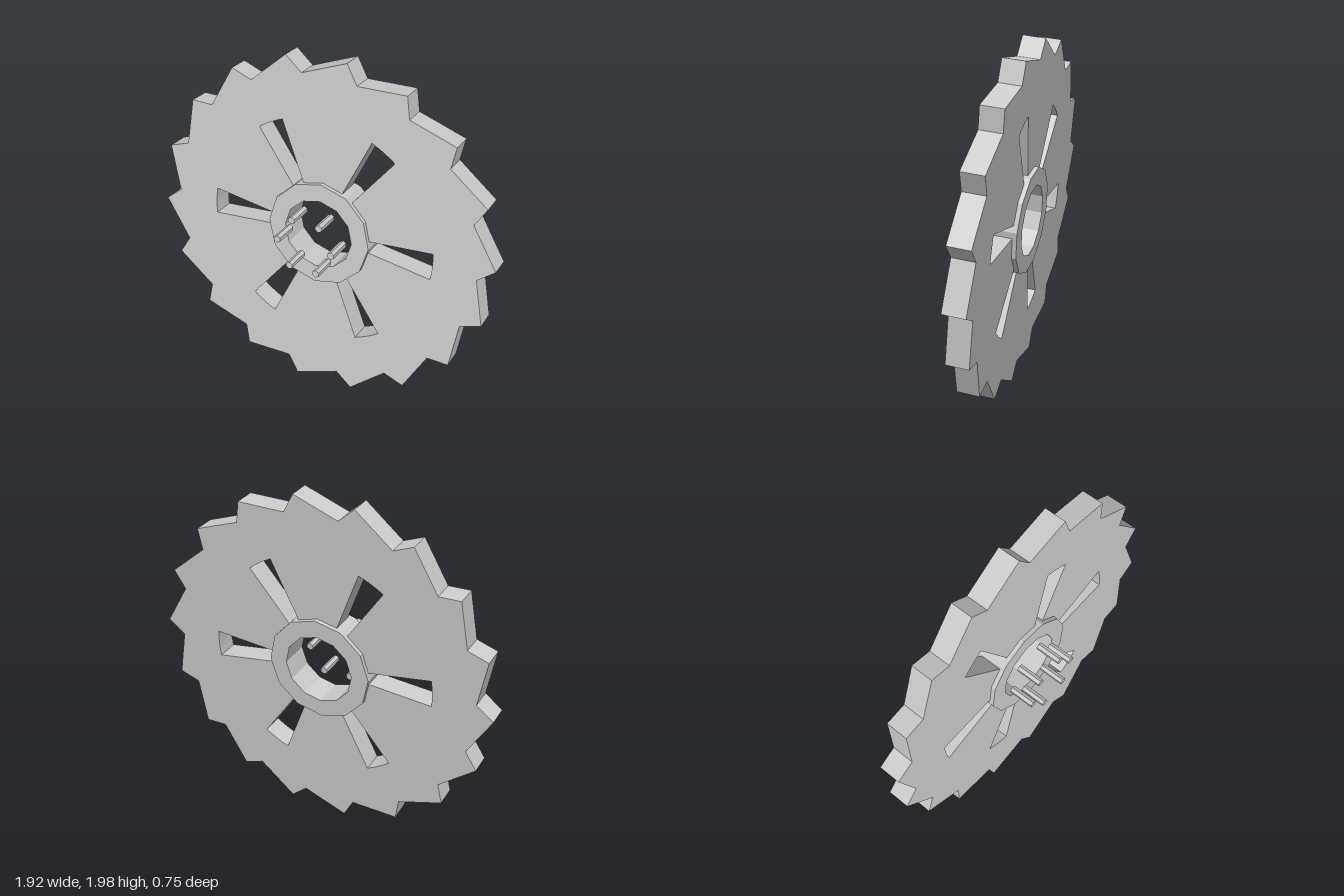
import * as THREE from 'three';

const material = new THREE.MeshStandardMaterial({ color: 0xcccccc, flatShading: true });
const polar = (r, deg) => new THREE.Vector2(
  r * Math.cos(THREE.MathUtils.degToRad(deg)), r * Math.sin(THREE.MathUtils.degToRad(deg)));

// Regular polygon outline
const ring = (r, sides) => Array.from({ length: sides }, (_, i) => polar(r, i * 360 / sides));

// Extruded plate centred on z = 0
function plate(name, outline, holes, depth) {
  const shape = new THREE.Shape(outline);
  shape.holes = holes.map((points) => new THREE.Path(points));
  const geometry = new THREE.ExtrudeGeometry(shape, { depth, bevelEnabled: false });
  geometry.translate(0, 0, -depth / 2);
  const mesh = new THREE.Mesh(geometry, material);
  mesh.name = name;
  return mesh;
}

export function createModel() {
  const model = new THREE.Group();
  model.name = 'sawBlade';

  // Toothed disc: each tooth has a steep face and a long sloping back
  const teeth = [];
  for (let i = 0; i < 18; i++) {
    teeth.push(polar(0.897, i * 20 + 0.2), polar(0.993, i * 20 + 4.8));
  }

  // Six wedge-shaped slots running out from the hub
  const slots = [];
  for (let i = 0; i < 6; i++) {
    const points = [polar(0.26, i * 60 - 6.8)];
    for (let k = 0; k <= 4; k++) points.push(polar(0.655, i * 60 - 6.8 + k * 3.4));
    points.push(polar(0.26, i * 60 + 6.8));
    slots.push(points);
  }
  model.add(plate('toothedDisc', teeth, [ring(0.225, 12), ...slots], 0.125));

  // Hub ring, slightly proud of the disc on both sides
  model.add(plate('hubRing', ring(0.3, 12), [ring(0.2, 12)], 0.175));

  // Six small pins in front of the hub opening
  const pinGeometry = new THREE.CylinderGeometry(0.021, 0.021, 0.145, 6).rotateX(Math.PI / 2);
  for (let i = 0; i < 6; i++) {
    const pin = new THREE.Mesh(pinGeometry, material);
    const p = polar(0.16, i * 60);
    pin.name = 'hubPin';
    pin.position.set(p.x, p.y, 0.178);
    model.add(pin);
  }

  // The whole blade is tilted back and turned to its left
  model.rotation.set(-0.12, 0.304, 0, 'YXZ');
  model.position.y = 1;
  const root = new THREE.Group();
  root.name = 'tiltedBlade';
  root.add(model);
  return root;
}
